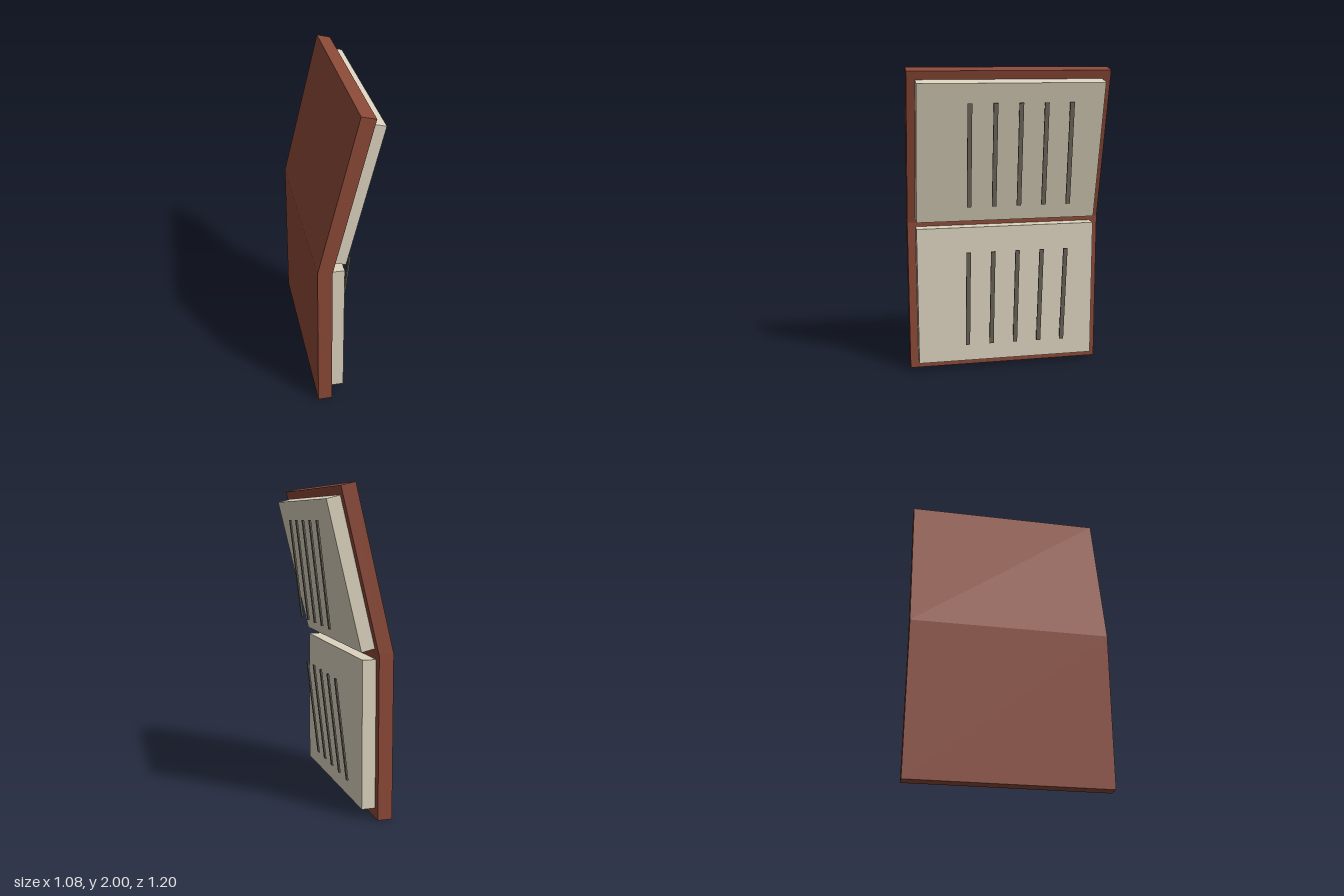
import * as THREE from 'three';

const WIDTH = 1.28, HALF = 1.013, COVER = 0.09, PAGES = 0.085, MARGIN = 0.0525;
const TILT = 0.237; // lean of the upper half

export function createModel() {
  const flat = (name, color) => {
    const m = new THREE.MeshStandardMaterial({ color });
    m.name = name;
    return m;
  };
  const leather = flat('red brown leather', 0x8b4937);
  const paper = flat('cream paper', 0xddd4bf);
  const ink = flat('grey ink', 0x6d685c);

  // Box given by its lower and upper corners
  const box = (name, material, a, b) => {
    const mesh = new THREE.Mesh(
      new THREE.BoxGeometry(b[0] - a[0], b[1] - a[1], b[2] - a[2]), material);
    mesh.name = name;
    mesh.position.set((a[0] + b[0]) / 2, (a[1] + b[1]) / 2, (a[2] + b[2]) / 2);
    return mesh;
  };

  // Book frame: x along the fold, y up, z out of the pages
  const book = new THREE.Group();
  book.name = 'openBook';
  book.position.set(0.265, 0, 0.603);
  book.rotation.y = Math.atan2(0.779, -0.627);

  // Upright lower half
  const lower = new THREE.Group();
  lower.name = 'lowerHalf';
  lower.add(
    box('lowerCover', leather, [0, 0, 0], [WIDTH, HALF, COVER]),
    box('lowerPages', paper, [MARGIN, 0.06, COVER], [WIDTH - MARGIN, 0.974, COVER + PAGES]));

  // Upper half, hinged at the outer edge of the fold
  const upper = new THREE.Group();
  upper.name = 'upperHalf';
  upper.position.y = HALF;
  upper.rotation.x = TILT;
  upper.add(
    box('upperCover', leather, [0, 0, 0], [WIDTH, HALF + 0.002, COVER]),
    box('upperPages', paper, [MARGIN, 0.048, COVER], [WIDTH - MARGIN, 0.961, COVER + PAGES]));

  // Two rows of ruled strips in one plane at half the lean
  const lines = new THREE.Group();
  lines.name = 'textLines';
  lines.position.set(0, 0.18, 0.199);
  lines.rotation.x = TILT / 2;
  for (const y of [0, 0.962]) {
    for (let i = 0; i < 5; i++) {
      const x = 0.375 + i * 0.16;
      lines.add(box('textLine', ink, [x - 0.014, y, -0.005], [x + 0.014, y + 0.655, 0.005]));
    }
  }

  book.add(lower, upper, lines);
  const model = new THREE.Group();
  model.name = 'book';
  model.add(book);
  return model;
}
